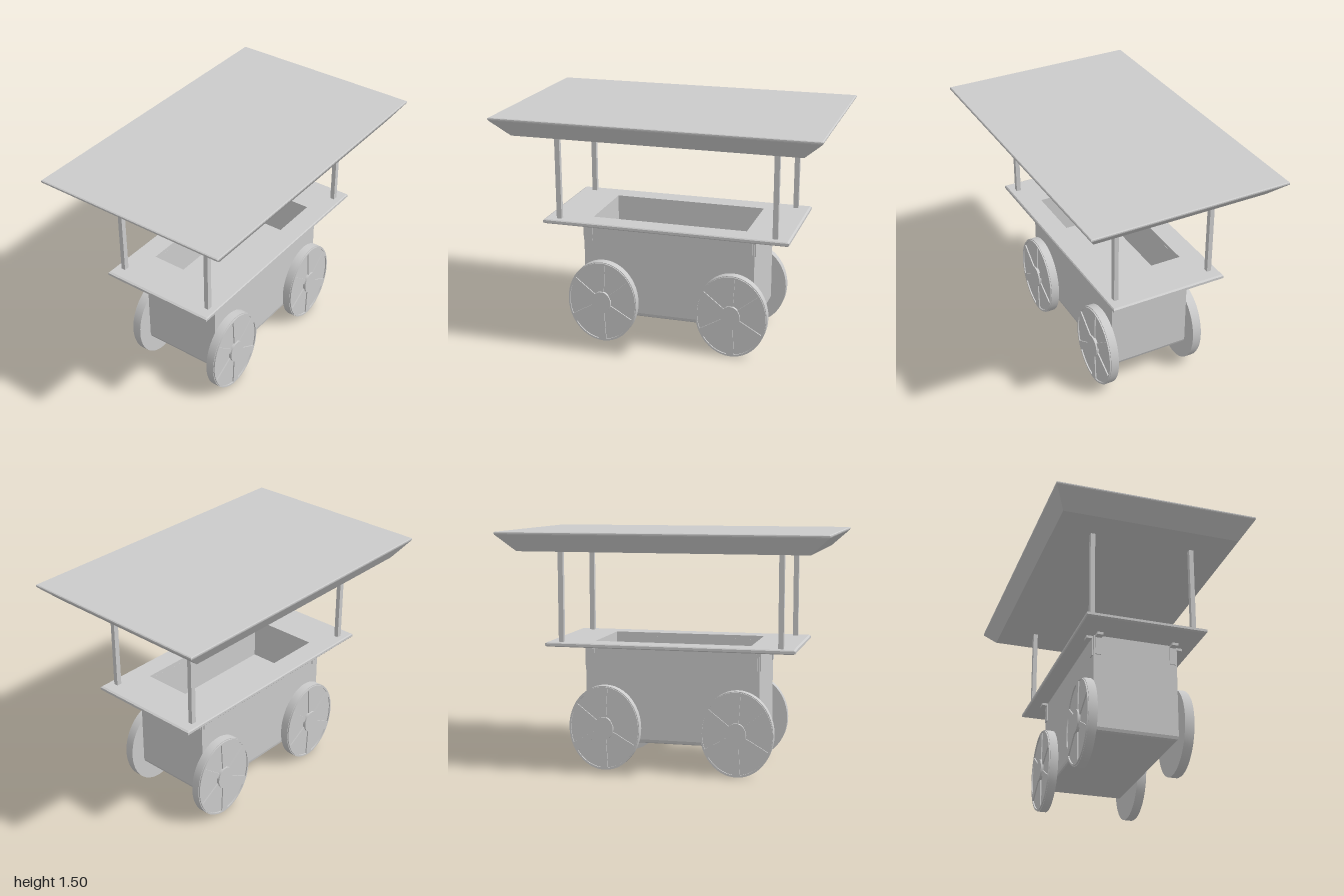
import * as THREE from 'three';
import { toCreasedNormals } from 'three/addons/utils/BufferGeometryUtils.js';

const material = new THREE.MeshStandardMaterial({ color: 0xcccccc });

function addMesh(parent, name, geometry) {
  const mesh = new THREE.Mesh(geometry, material);
  mesh.name = name;
  parent.add(mesh);
  return mesh;
}

function addBox(parent, name, size, position) {
  addMesh(parent, name, new THREE.BoxGeometry(...size)).position.set(...position);
}

// Sweeps a profile of [half-width ratio, y] around a rectangle
function rectangularLathe(profile, halfX, halfZ) {
  const points = profile.map(([r, y]) => new THREE.Vector2(r * Math.SQRT2, y));
  const geometry = new THREE.LatheGeometry(points, 4, Math.PI / 4).scale(halfX, 1, halfZ).toNonIndexed();
  geometry.computeVertexNormals();
  return geometry;
}

// Wheel of unit radius facing +z, scaled to its slightly oval outline
function makeWheel(side, z) {
  const wheel = new THREE.Group();
  wheel.name = 'wheel';

  const disc = (r, depth) => toCreasedNormals(
    new THREE.CylinderGeometry(r, r, depth, 48).rotateX(Math.PI / 2).translate(0, 0, depth / 2), 0.6);
  addMesh(wheel, 'tyre', disc(1, 0.052));
  addMesh(wheel, 'hub', disc(0.27, 0.07));

  // Narrow raised rim
  const ring = new THREE.Shape().absarc(0, 0, 0.98, 0, Math.PI * 2);
  ring.holes.push(new THREE.Path().absarc(0, 0, 0.94, 0, Math.PI * 2, true));
  addMesh(wheel, 'rim', toCreasedNormals(
    new THREE.ExtrudeGeometry(ring, { depth: 0.06, bevelEnabled: false, curveSegments: 48 }), 0.6));

  // Spokes widen from hub to rim
  const spoke = new THREE.Shape([[-0.06, 0.2], [0.06, 0.2], [0.11, 0.95], [-0.11, 0.95]]
    .map(([x, y]) => new THREE.Vector2(x, y)));
  const spokeGeometry = new THREE.ExtrudeGeometry(spoke, { depth: 0.06, bevelEnabled: false });
  for (let i = 0; i < 6; i++) {
    addMesh(wheel, 'spoke', spokeGeometry).rotation.z = i * Math.PI / 3;
  }

  wheel.scale.set(0.227, 0.267, 1);
  wheel.rotation.y = side * Math.PI / 2;
  wheel.position.set(side * 0.263, 0.267, z);
  return wheel;
}

// Two angle brackets at one corner, holding the counter to the body
function makeBrackets(sx, sz) {
  const group = new THREE.Group();
  group.name = 'cornerBrackets';
  addBox(group, 'endBracketPlate', [0.038, 0.125, 0.008], [sx * 0.234, 0.715, sz * 0.553]);
  addBox(group, 'endBracketTab', [0.038, 0.016, 0.05], [sx * 0.234, 0.769, sz * 0.575]);
  addBox(group, 'sideBracketPlate', [0.008, 0.125, 0.042], [sx * 0.263, 0.715, sz * 0.515]);
  addBox(group, 'sideBracketTab', [0.04, 0.016, 0.042], [sx * 0.28, 0.769, sz * 0.515]);
  return group;
}

export function createModel() {
  const cart = new THREE.Group();
  cart.name = 'marketCart';

  // Box body with an open well
  addMesh(cart, 'body', rectangularLathe([
    [0, 0.172], [0.96, 0.172], [0.988, 0.178], [1, 0.195],
    [1, 0.78], [0.9, 0.78], [0.9, 0.53], [0, 0.53],
  ], 0.26, 0.55));

  // Counter framing the well
  addMesh(cart, 'counter', rectangularLathe([
    [0.633, 0.777], [0.985, 0.777], [1, 0.783], [1, 0.798],
    [0.985, 0.804], [0.633, 0.804], [0.633, 0.777],
  ], 0.37, 0.78));

  // Canopy with sloping edges
  addMesh(cart, 'canopy', rectangularLathe([
    [0, 1.377], [0.885, 1.377], [0.997, 1.478], [1, 1.484],
    [1, 1.491], [0.994, 1.495], [0, 1.495],
  ], 0.623, 1));

  for (const sx of [-1, 1]) {
    for (const sz of [-1, 1]) {
      addBox(cart, 'post', [0.028, 0.58, 0.032], [sx * 0.315, 1.09, sz * 0.688]);
      cart.add(makeBrackets(sx, sz));
      cart.add(makeWheel(sx, sz * 0.42));
    }
  }
  return cart;
}
